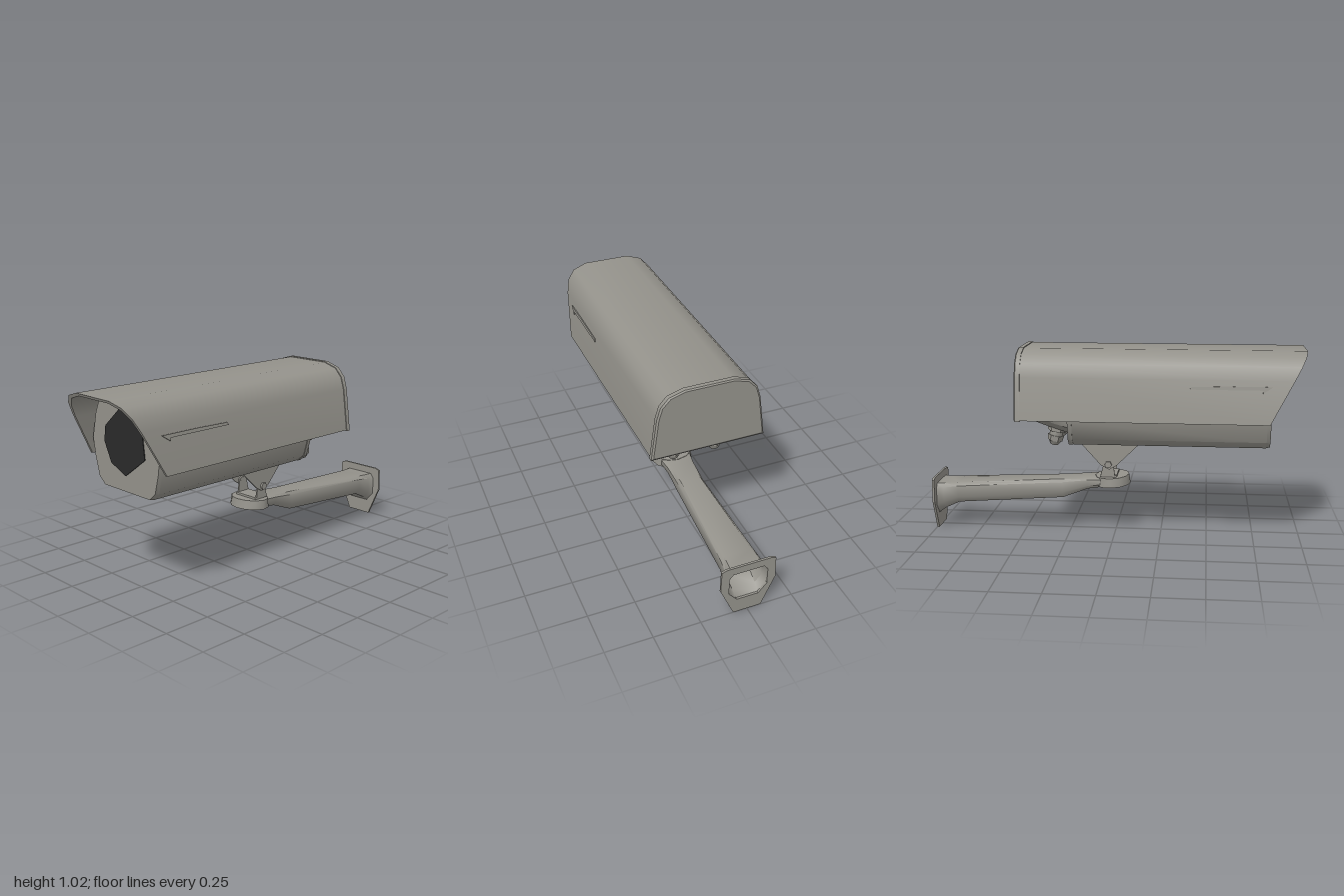
import * as THREE from 'three';
import { toCreasedNormals } from 'three/addons/utils/BufferGeometryUtils.js';

const metal = new THREE.MeshStandardMaterial({ color: 0x94928b, side: THREE.DoubleSide });
metal.name = 'warm grey metal';
const glass = new THREE.MeshStandardMaterial({ color: 0x2a2a2a });
glass.name = 'dark glass';

// Completes a right-hand half outline (bottom to top) with its mirror image.
const mirror = (half) => [...half, ...half.slice().reverse().map(([x, y]) => [-x, y])];

// Joins [x, y, z] rings, ordered back to front and anticlockwise from the front.
function loft(rings, capBack = true, capFront = true, crease = 0.6) {
  const n = rings[0].length;
  const index = [];
  for (let r = 0; r < rings.length - 1; r++) {
    for (let i = 0; i < n; i++) {
      const a = r * n + i, b = r * n + (i + 1) % n;
      index.push(a, b, b + n, a, b + n, a + n);
    }
  }
  const cap = (r, flip) => {
    const flat = rings[r].map(([x, y]) => new THREE.Vector2(x, y));
    for (const [a, b, c] of THREE.ShapeUtils.triangulateShape(flat, [])) {
      index.push(r * n + a, r * n + (flip ? c : b), r * n + (flip ? b : c));
    }
  };
  if (capBack) cap(0, true);
  if (capFront) cap(rings.length - 1, false);
  const g = new THREE.BufferGeometry();
  g.setAttribute('position', new THREE.Float32BufferAttribute(rings.flat(2), 3));
  g.setIndex(index);
  return toCreasedNormals(g, crease);
}

const atZ = (outline, z) => outline.map(([x, y]) => [x, y, z]);
const toShape = (pts) => new THREE.Shape(pts.map(([x, y]) => new THREE.Vector2(x, y)));
const extrude = (shape, depth) =>
  new THREE.ExtrudeGeometry(shape, { depth, bevelEnabled: false });

// Extrudes a [z, y] outline along x, centred on the given x.
function sidePlate(pts, thickness, x) {
  const g = extrude(toShape(pts.map(([z, y]) => [-z, y])), thickness);
  g.translate(0, 0, -thickness / 2);
  g.rotateY(Math.PI / 2);
  g.translate(x, 0, 0);
  return g;
}

export function createModel() {
  const model = new THREE.Group();
  model.name = 'securityCamera';
  const add = (name, geometry, material = metal, parent = model) => {
    const mesh = new THREE.Mesh(geometry, material);
    mesh.name = name;
    parent.add(mesh);
    return mesh;
  };

  // Sun hood: thin folded shell with a raked front edge
  const hoodHalf = [[0.302, 0.665], [0.272, 0.89], [0.252, 0.955], [0.21, 1.0], [0.13, 1.024]];
  const outer = mirror(hoodHalf);
  const inner = mirror(hoodHalf.map(([x, y], i) => [x - 0.014, i ? y - 0.014 : y])).reverse();
  const shell = [...outer, ...inner];
  const rake = (y) => Math.min(1, 0.81 + (y - 0.665) * 0.53);
  add('hood', loft([atZ(shell, -0.49), shell.map(([x, y]) => [x, y, rake(y)])]));

  // Rear cover with a slightly proud rim
  const rim = outer.map(([x, y]) => [x * 1.015, 0.66 + (y - 0.665) * 1.025]);
  const rimIn = outer.map(([x, y]) => [x * 0.98, 0.67 + (y - 0.665) * 0.98]);
  add('rearCover', loft([atZ(rimIn, -0.507), atZ(rim, -0.5), atZ(rim, -0.476)]));

  // Raised side louvres
  for (const s of [-1, 1]) {
    const louvre = add('sideLouvre', sidePlate(
      [[0.82, 0.012], [0.77, -0.022], [0.77, -0.006], [0.4, -0.006], [0.41, 0.008], [0.6, 0.012]],
      0.012, 0));
    louvre.position.set(s * 0.278, 0.846, 0);
    louvre.rotation.z = s * 0.133;
  }

  // Main housing with a chamfered front edge
  const body = mirror([[0.18, 0.52], [0.225, 0.558], [0.252, 0.655], [0.268, 0.755],
    [0.235, 0.89], [0.2, 0.965], [0.17, 0.985]]);
  const scaled = (k) => body.map(([x, y]) => [x * k, 0.755 + (y - 0.755) * k]);
  add('housing', loft([atZ(body, -0.215), atZ(body, 0.8), atZ(scaled(0.98), 0.82)]));
  add('housingFlange', loft([atZ(scaled(1.01), -0.235), atZ(scaled(1.01), -0.212)]));

  // Tapered rear underside
  const rear = (w, y) => mirror([[w * 0.72, y], [w, y + 0.04], [w + 0.03, 0.72], [0.2, 0.95]]);
  add('housingRear', loft([atZ(rear(0.17, 0.648), -0.48), atZ(rear(0.215, 0.6), -0.32),
    atZ(rear(0.22, 0.575), -0.23)]));

  // Front window
  const windowShape = toShape([[-0.04, 0.93], [-0.15, 0.835], [-0.163, 0.755], [-0.112, 0.652],
    [0, 0.606], [0.154, 0.715], [0.137, 0.868], [0.04, 0.93]]);
  add('window', extrude(windowShape, 0.006).translate(0, 0, 0.818), glass);

  // Cable glands
  for (const s of [-1, 1]) {
    const gland = new THREE.Group();
    gland.name = 'cableGland';
    gland.position.set(s * 0.115, 0.6, -0.305);
    gland.rotation.x = 0.2;
    const pieces = [[0.05, 0.05, 0.022, -0.01, 6], [0.036, 0.036, 0.03, -0.035, 8],
      [0.044, 0.04, 0.03, -0.06, 6], [0.036, 0.022, 0.022, -0.086, 8]];
    for (const [top, bottom, h, y, n] of pieces) {
      add('glandRing', toCreasedNormals(
        new THREE.CylinderGeometry(top, bottom, h, n).translate(0, y, 0), 0.9), metal, gland);
    }
    model.add(gland);
  }

  // Tilt bracket: mounting plate, cheeks, lower yoke and pivot bolts
  add('bracketPlate', new THREE.BoxGeometry(0.175, 0.012, 0.31).translate(0, 0.513, -0.025));
  add('yokeBase', new THREE.BoxGeometry(0.15, 0.012, 0.09).translate(0, 0.322, -0.035));
  for (const s of [-1, 1]) {
    add('bracketCheek', sidePlate([[0.13, 0.517], [0.122, 0.495], [0.01, 0.385], [-0.03, 0.362],
      [-0.075, 0.385], [-0.175, 0.495], [-0.182, 0.517]], 0.01, s * 0.083));
    add('yokeCheek', sidePlate([[0.0, 0.316], [-0.01, 0.4], [-0.035, 0.415], [-0.06, 0.4],
      [-0.08, 0.316]], 0.009, s * 0.071));
    add('pivotBolt', new THREE.CylinderGeometry(0.02, 0.02, 0.035, 6)
      .rotateZ(Math.PI / 2).translate(s * 0.083, 0.39, -0.035));
    for (const z of [0.085, -0.135]) {
      add('plateScrew', new THREE.CylinderGeometry(0.013, 0.013, 0.012, 6)
        .translate(s * 0.04, 0.503, z));
    }
  }

  // Rounded arm head
  const head = add('armHead', toCreasedNormals(
    new THREE.CylinderGeometry(0.11, 0.116, 0.05, 12, 1).scale(1, 1, 0.85), 0.9));
  head.position.set(0, 0.29, -0.02);
  head.rotation.x = -0.05;

  // Arm: hollow, widening towards the wall
  const armRing = (z, w, top, bottom, foot) => {
    const h = top - bottom;
    return atZ(mirror([[foot, bottom], [w, bottom + h * 0.3], [w, top - h * 0.15],
      [w * 0.8, top]]), z);
  };
  add('arm', loft([
    armRing(-0.99, 0.105, 0.262, 0.085, 0.06),
    armRing(-0.95, 0.1, 0.262, 0.115, 0.062),
    armRing(-0.87, 0.093, 0.266, 0.152, 0.065),
    armRing(-0.29, 0.07, 0.295, 0.19, 0.052),
    armRing(-0.15, 0.075, 0.305, 0.245, 0.06),
    armRing(-0.04, 0.09, 0.313, 0.265, 0.075),
  ], false, true, 0.8));

  // Wall plate with an opening into the arm
  const plate = toShape(mirror([[0.075, 0.004], [0.148, 0.17], [0.145, 0.292], [0.12, 0.302]]));
  const opening = armRing(0, 0.103, 0.26, 0.088, 0.058);
  plate.holes.push(new THREE.Path(opening.map(([x, y]) => new THREE.Vector2(x, y))));
  add('wallPlate', extrude(plate, 0.012).translate(0, 0, -1));

  return model;
}
